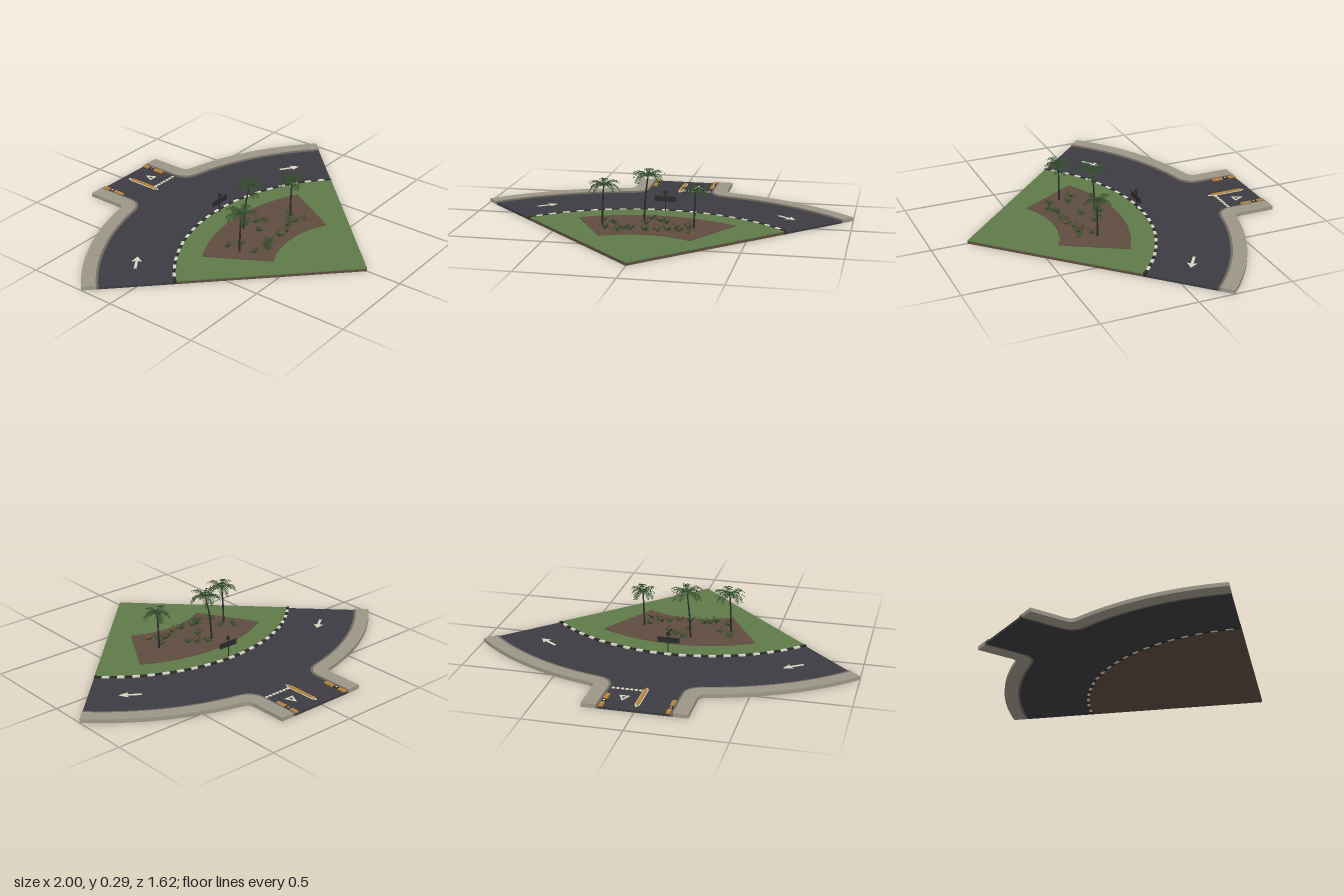
import * as THREE from 'three';
import { mergeGeometries } from 'three/addons/utils/BufferGeometryUtils.js';

const mat = (name, color, extra = {}) => {
  const m = new THREE.MeshStandardMaterial({ color, ...extra });
  m.name = name;
  return m;
};

export function createModel() {
  const root = new THREE.Group();
  root.name = 'roadCorner';
  const asphalt = mat('asphalt', 0x3c3b42);
  const paving = mat('paving', 0x9c9688);
  const curbstone = mat('curbstone', 0x706b61);
  const grass = mat('grass', 0x5e7a48);
  const soil = mat('soil', 0x614c40);
  const paint = mat('paint', 0xd6d3c2);
  const amber = mat('amber', 0xb5843a);
  const leaf = mat('leaf', 0x30482a, { side: THREE.DoubleSide });
  const rust = mat('rust', 0x8a4c30, { side: THREE.DoubleSide });
  const charcoal = mat('charcoal', 0x2c2b2b);

  let seed = 7;
  const rnd = () => (seed = (seed * 16807) % 2147483647) / 2147483647;
  const add = (name, geo, material, parent = root) => {
    const m = new THREE.Mesh(geo, material);
    m.name = name;
    parent.add(m);
    return m;
  };

  // Plan outlines are [x, -z]; every arc is centred on the wedge tip
  const TIP = -0.81, A0 = Math.PI / 4, A1 = 3 * Math.PI / 4;
  const arc = (r, a0 = A0, a1 = A1, n = 48) => Array.from({ length: n + 1 }, (_, i) => {
    const a = a0 + (a1 - a0) * i / n;
    return [r * Math.cos(a), TIP + r * Math.sin(a)];
  });
  const ring = (r0, r1, a0, a1, n) => [...arc(r1, a0, a1, n), ...arc(r0, a1, a0, n)];
  const flip = pts => pts.map(([x, y]) => [-x, y]);
  const slabGeo = (pts, y0, y1, hole) => {
    const s = new THREE.Shape(pts.map(p => new THREE.Vector2(...p)));
    if (hole) s.holes.push(new THREE.Path(hole.map(p => new THREE.Vector2(...p))));
    return new THREE.ExtrudeGeometry(s, { depth: y1 - y0, bevelEnabled: false })
      .rotateX(-Math.PI / 2).translate(0, y0, 0);
  };
  const slab = (name, material, pts, y0, y1, hole) => add(name, slabGeo(pts, y0, y1, hole), material);
  const box = (name, material, w, h, d, x, y, z, parent) =>
    add(name, new THREE.BoxGeometry(w, h, d).translate(x, y, z), material, parent);

  // Right-hand kerb line: main arc, rounded corner, then along the side road
  const kerbLine = (r, x, fillet) => {
    const xa = x + fillet, a = Math.acos(xa / r);
    const yAt = v => TIP + Math.sqrt(r * r - v * v);
    const corner = new THREE.QuadraticBezierCurve(
      new THREE.Vector2(xa, yAt(xa)), new THREE.Vector2(x, yAt(x)),
      new THREE.Vector2(x, yAt(x) + fillet * 0.85));
    return [...arc(r, A0, a, 24), ...corner.getPoints(10).slice(1).map(p => [p.x, p.y]), [x, 0.81]];
  };
  const inner = kerbLine(1.33, 0.18, 0.1);
  const mid = kerbLine(1.342, 0.19, 0.095);
  const outer = kerbLine(1.414, 0.265, 0.045);

  // Ground
  slab('road', asphalt, [...inner, ...flip(inner).reverse(), ...arc(0.965, A1, A0)], 0, 0.012);
  for (const [side, f] of [['left', p => p], ['right', flip]]) {
    slab(side + 'Curb', curbstone, f([...inner, ...mid.slice().reverse()]), 0, 0.019);
    slab(side + 'Sidewalk', paving, f([...mid, ...outer.slice().reverse()]), 0, 0.02);
  }
  slab('soilBase', soil, [[0, TIP], ...arc(0.95)], 0, 0.013);
  slab('lawn', grass, [[0, TIP], ...arc(0.95)], 0.013, 0.017);
  slab('plantingBed', soil, ring(0.467, 0.83, Math.PI / 3, 2 * Math.PI / 3, 32), 0.017, 0.02);

  // Striped kerb around the lawn
  const STRIPES = 39, step = (A1 - A0) / STRIPES;
  const stripes = [[], []];
  for (let i = 0; i < STRIPES; i++)
    stripes[i % 2].push(slabGeo(ring(0.95, 0.965, A0 + i * step, A0 + (i + 1) * step, 2), 0, 0.02));
  add('darkKerbStripes', mergeGeometries(stripes[0]), charcoal);
  add('lightKerbStripes', mergeGeometries(stripes[1]), paint);

  // Lane arrows
  const arrow = [[-0.058, -0.007], [0.015, -0.007], [0.01, -0.026], [0.058, 0], [0.01, 0.026], [0.015, 0.007], [-0.058, 0.007]];
  for (const s of [-1, 1]) {
    const m = slab('laneArrow', paint, arrow, 0, 0.002);
    m.position.set(s * 0.655, 0.012, -0.1375);
    m.rotation.y = -s * 0.605;
  }

  // Side road markings: give-way line, triangle, divider and edge barriers
  for (let i = 0; i < 7; i++) box('giveWayDash', paint, 0.016, 0.002, 0.015, 0.024 + i * 0.0232, 0.013, -0.595);
  slab('giveWayTriangle', paint, [[0.058, 0.667], [0.112, 0.667], [0.085, 0.725]], 0.012, 0.014,
    [[0.073, 0.677], [0.097, 0.677], [0.085, 0.703]]);
  const divider = (w, a, b) => [[-w, a + 0.025], [-0.003, a], [0.003, a], [w, a + 0.025],
    [w, b - 0.025], [0.003, b], [-0.003, b], [-w, b - 0.025]];
  slab('dividerBorder', paint, divider(0.0135, 0.56, 0.775), 0.012, 0.014);
  slab('divider', amber, divider(0.009, 0.572, 0.763), 0.014, 0.018);
  for (const s of [-1, 1]) {
    box('edgeBarrierBack', amber, 0.02, 0.008, 0.044, s * 0.166, 0.016, -0.788);
    box('edgeBarrierGap', charcoal, 0.018, 0.007, 0.034, s * 0.166, 0.0155, -0.749);
    box('edgeBarrierSpot', paint, 0.012, 0.002, 0.008, s * 0.166, 0.0195, -0.749);
    box('edgeBarrierFront', amber, 0.02, 0.008, 0.06, s * 0.166, 0.016, -0.702);
  }

  // Direction sign
  const sign = new THREE.Group();
  sign.name = 'roadSign';
  root.add(sign);
  add('signPost', new THREE.CylinderGeometry(0.003, 0.003, 0.105, 8).translate(0.003, 0.0695, -0.13), charcoal, sign);
  box('signBoard', charcoal, 0.116, 0.029, 0.005, 0.003, 0.086, -0.126, sign);
  add('signDisc', new THREE.CylinderGeometry(0.012, 0.012, 0.005, 16).rotateX(Math.PI / 2).translate(0.003, 0.121, -0.126), charcoal, sign);

  // Feathered leaf: pairs of narrow leaflets along an arching rib
  const frond = (out, yaw, len, rise, drop, width, pairs) => {
    const c = Math.cos(yaw), s = Math.sin(yaw);
    const at = (t, side, fwd, down) => {
      const r = len * t * (1 - 0.1 * t) + fwd;
      out.push(c * r - s * side, rise * t - drop * t * t - down, s * r + c * side);
    };
    for (let i = 0; i < pairs; i++) {
      const t = (i + 0.6) / pairs, w = width * Math.sin(Math.PI * (0.18 + 0.72 * t)), h = 0.36 / pairs;
      for (const k of [-1, 1]) {
        at(t - k * h, 0, 0, 0);
        at(t + k * h, 0, 0, 0);
        at(t, k * w, w * 0.55, w * 0.35);
      }
    }
  };
  const leafGeo = pos => {
    const g = new THREE.BufferGeometry();
    g.setAttribute('position', new THREE.Float32BufferAttribute(pos, 3));
    g.computeVertexNormals();
    return g;
  };

  // Palms: base x, z, trunk height, lean x, lean z, crown radius
  const palms = [
    [-0.26, 0.21, 0.215, 0.01, 0.005, 0.092],
    [-0.065, 0.085, 0.25, 0.025, 0.022, 0.1],
    [0.215, 0.185, 0.2, 0.008, 0.002, 0.08],
  ];
  for (const [x, z, h, lx, lz, r] of palms) {
    const palm = new THREE.Group();
    palm.name = 'palm';
    palm.position.set(x, 0.02, z);
    root.add(palm);
    const trunk = new THREE.CylinderGeometry(0.0035, 0.0055, h, 8, 8).translate(0, h / 2, 0);
    const p = trunk.attributes.position;
    for (let i = 0; i < p.count; i++) {
      const t = p.getY(i) / h, bend = t * t;
      p.setXYZ(i, p.getX(i) + lx * bend, p.getY(i), p.getZ(i) + lz * bend);
    }
    trunk.computeVertexNormals();
    add('palmTrunk', trunk, charcoal, palm);
    const pos = [];
    for (let i = 0; i < 16; i++)
      frond(pos, i * 2.4 + rnd() * 0.3, r * (0.85 + rnd() * 0.2), i % 2 ? 0.085 : 0.045, 0.075, 0.024, 15);
    add('palmCrown', leafGeo(pos), leaf, palm).position.set(lx, h, lz);
  }

  // Low shrubs: x, z, flowering
  const shrubs = [
    [-0.16, 0.31, 0], [-0.1, 0.28, 0], [-0.02, 0.285, 0], [0.04, 0.29, 1], [0.09, 0.26, 0], [0.13, 0.245, 1],
    [0.15, 0.265, 0], [0.2, 0.29, 1], [-0.23, 0.28, 0], [-0.21, 0.18, 0], [-0.13, 0.285, 0], [-0.04, 0.17, 0],
    [0.02, 0.1, 0], [-0.03, 0.07, 0], [0.06, 0.13, 0], [0.19, 0.2, 0], [-0.27, 0.14, 0],
  ];
  for (const [x, z, flowering] of shrubs) {
    const pos = [], red = [];
    for (let i = 0; i < 11; i++) {
      const target = flowering && i % 3 === 0 ? red : pos;
      frond(target, i * 2.4 + rnd(), 0.026 + rnd() * 0.012, 0.03 + rnd() * 0.035, 0.03, 0.009, 6);
    }
    const shrub = new THREE.Group();
    shrub.name = 'shrub';
    shrub.position.set(x, 0.021, z);
    root.add(shrub);
    add('shrubLeaves', leafGeo(pos), leaf, shrub);
    if (flowering) add('shrubBlooms', leafGeo(red), rust, shrub);
  }
  return root;
}
